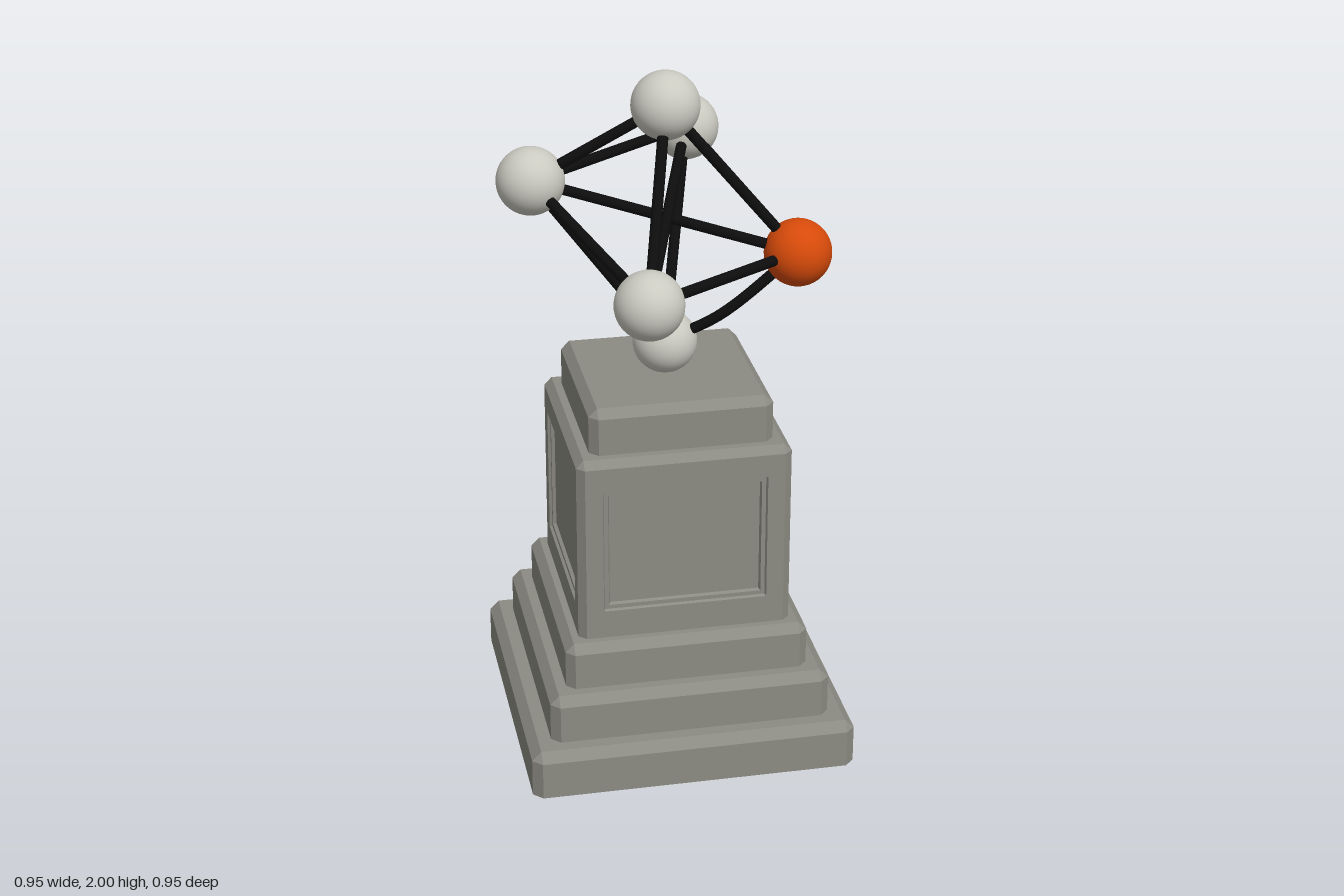
import * as THREE from 'three';

const material = (name, color) => {
  const m = new THREE.MeshStandardMaterial({ color });
  m.name = name;
  return m;
};

// Joins matching rings of points with flat faces and closes the ends on request
function loft(rings, { capStart = false, capEnd = false, skip = () => false } = {}) {
  const pos = [];
  const tri = (a, b, c) => pos.push(...a, ...b, ...c);
  const n = rings[0].length;
  for (let r = 0; r < rings.length - 1; r++) {
    const a = rings[r], b = rings[r + 1];
    for (let i = 0; i < n; i++) {
      if (skip(r, i)) continue;
      const j = (i + 1) % n;
      tri(a[i], a[j], b[j]);
      tri(a[i], b[j], b[i]);
    }
  }
  const first = rings[0], last = rings[rings.length - 1];
  for (let i = 1; i < n - 1; i++) {
    if (capStart) tri(first[0], first[i + 1], first[i]);
    if (capEnd) tri(last[0], last[i], last[i + 1]);
  }
  const g = new THREE.BufferGeometry();
  g.setAttribute('position', new THREE.Float32BufferAttribute(pos, 3));
  g.computeVertexNormals();
  return g;
}

// Square with cut corners
function octagon(h, c, y) {
  const k = h - c;
  return [[-k, h], [k, h], [h, k], [h, -k], [k, -h], [-k, -h], [-h, -k], [-h, k]]
    .map(([x, z]) => [x, y, z]);
}

// Square block with chamfered upright and top edges
function block(h, y0, y1, c, openSides = false) {
  const rings = [octagon(h, c, y0), octagon(h, c, y1 - c), octagon(h - c, 0, y1)];
  return loft(rings, {
    capStart: true, capEnd: true,
    skip: (r, i) => openSides && r === 0 && i % 2 === 0,
  });
}

const rectangle = (w, y0, y1, z) => [[-w, y0, z], [w, y0, z], [w, y1, z], [-w, y1, z]];

export function createModel() {
  const group = new THREE.Group();
  const stone = material('grey stone', 0x8c8b83);
  const pale = material('pale ball', 0xcbcac1);
  const orange = material('orange ball', 0xd64a0a);
  const black = material('black rod', 0x0d0d0d);

  const add = (name, geometry, mat, parent = group) => {
    const mesh = new THREE.Mesh(geometry, mat);
    mesh.name = name;
    parent.add(mesh);
    return mesh;
  };

  // Stepped pedestal
  const pedestal = new THREE.Group();
  pedestal.name = 'pedestal';
  group.add(pedestal);
  add('bottomStep', block(0.475, 0, 0.14, 0.027), stone, pedestal);
  add('middleStep', block(0.41, 0.14, 0.28, 0.026), stone, pedestal);
  add('topStep', block(0.355, 0.28, 0.415, 0.025), stone, pedestal);
  add('shaft', block(0.31, 0.415, 0.975, 0.022, true), stone, pedestal);
  add('cap', block(0.265, 0.975, 1.11, 0.025), stone, pedestal);

  // Recessed panel on each side of the shaft
  const panel = loft([
    rectangle(0.288, 0.415, 0.953, 0.31),
    rectangle(0.238, 0.5, 0.885, 0.31),
    rectangle(0.234, 0.504, 0.881, 0.302),
    rectangle(0.222, 0.516, 0.869, 0.302),
    rectangle(0.218, 0.52, 0.865, 0.292),
  ], { capEnd: true });
  for (let i = 0; i < 4; i++) {
    add('sidePanel', panel, stone, pedestal).rotation.y = i * Math.PI / 2;
  }

  // Balls of the tilted octahedron
  const balls = {
    top: [0, 1.905, 0.01],
    left: [-0.37, 1.685, -0.06],
    back: [0.13, 1.715, -0.35],
    front: [-0.115, 1.465, 0.37],
    right: [0.37, 1.465, 0.07],
    bottom: [0, 1.195, 0],
  };
  for (const [name, p] of Object.entries(balls)) {
    const radius = name === 'bottom' ? 0.093 : 0.097;
    add(name + 'Ball', new THREE.SphereGeometry(radius, 40, 24), name === 'right' ? orange : pale)
      .position.set(...p);
  }

  // Rods between every pair of balls except top and bottom
  const names = Object.keys(balls);
  names.forEach((a, i) => names.slice(i + 1).forEach((b) => {
    if (a === 'top' && b === 'bottom') return;
    const points = [new THREE.Vector3(...balls[a]), new THREE.Vector3(...balls[b])];
    // The rod under the orange ball bends a little
    if (a === 'right' && b === 'bottom') points.splice(1, 0, new THREE.Vector3(0.15, 1.285, 0.055));
    const path = points.length > 2
      ? new THREE.CatmullRomCurve3(points)
      : new THREE.LineCurve3(points[0], points[1]);
    add('rod', new THREE.TubeGeometry(path, points.length > 2 ? 16 : 1, 0.0155, 12), black);
  }));

  return group;
}
